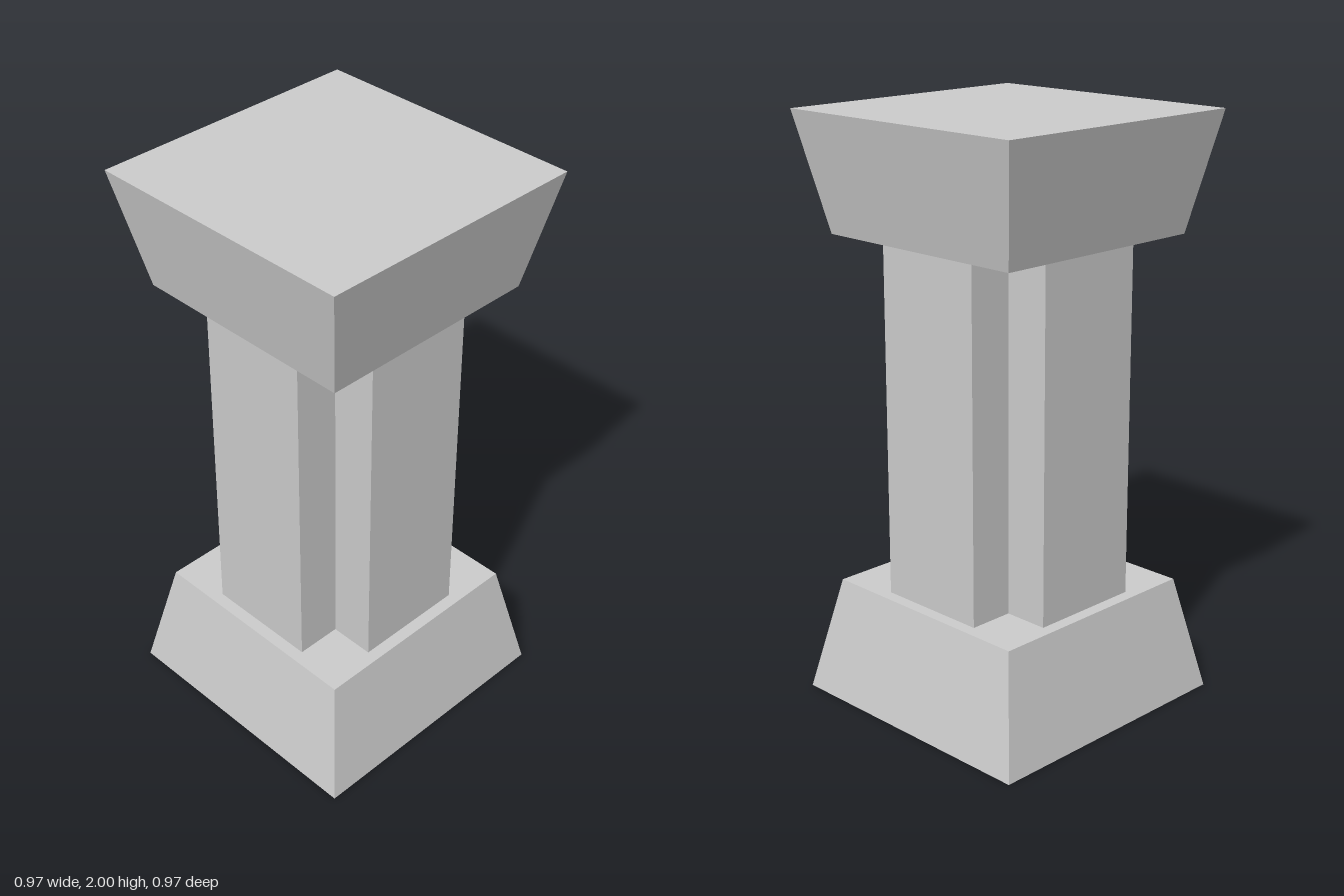
import * as THREE from 'three';

const material = new THREE.MeshStandardMaterial({ color: 0xcccccc, flatShading: true, side: THREE.DoubleSide });

// Four-sided open sleeve; half sizes at top and bottom, unit square before scaling
function sleeve(name, topHalf, bottomHalf, y0, y1) {
  const geo = new THREE.CylinderGeometry(topHalf * Math.SQRT2, bottomHalf * Math.SQRT2, y1 - y0, 4, 1, true);
  geo.rotateY(Math.PI / 4);
  geo.translate(0, (y0 + y1) / 2, 0);
  const mesh = new THREE.Mesh(geo, material);
  mesh.name = name;
  return mesh;
}

// Horizontal square plate
function plate(name, half, y) {
  const geo = new THREE.PlaneGeometry(half * 2, half * 2);
  geo.rotateX(-Math.PI / 2);
  geo.translate(0, y, 0);
  const mesh = new THREE.Mesh(geo, material);
  mesh.name = name;
  return mesh;
}

export function createModel() {
  const WIDE = 0.483, NARROW = 0.4, ARM = 0.357, CORE = 0.2;
  const model = new THREE.Group();
  model.name = 'pillar';

  // Base: hollow, open underneath
  const base = new THREE.Group();
  base.name = 'base';
  base.add(sleeve('baseSides', NARROW, WIDE, 0, 0.4), plate('baseTop', NARROW, 0.4));

  // Capital: hollow, flaring upward to a closed top
  const capital = new THREE.Group();
  capital.name = 'capital';
  capital.add(sleeve('capitalSides', WIDE, NARROW, 1.6, 2), plate('capitalTop', WIDE, 2));

  // Shaft: two crossed open box sleeves running down through the base
  const shaft = new THREE.Group();
  shaft.name = 'shaft';
  for (const [name, hx, hz] of [['shaftAcross', ARM, CORE], ['shaftDeep', CORE, ARM]]) {
    const part = sleeve(name, 1, 1, 0, 1.6);
    part.geometry.scale(hx, 1, hz);
    shaft.add(part);
  }

  model.add(base, shaft, capital);
  return model;
}
